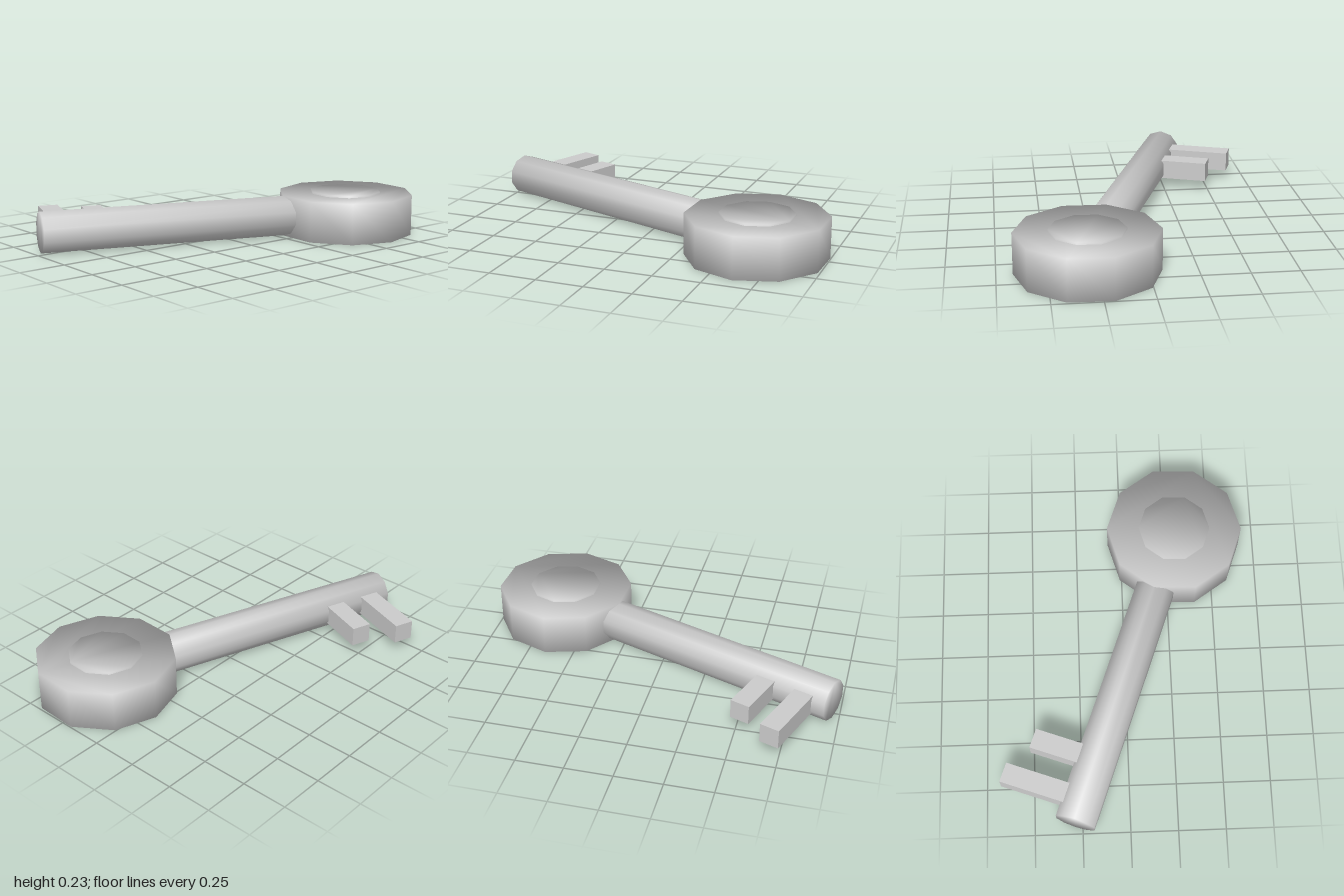
import * as THREE from 'three';

const SIDES = 10;

// Closed ten-sided prism along y whose caps and walls share smooth rim normals.
function prism(radius, y0, y1) {
  const pos = [], nor = [], idx = [];
  const wall = 2 * Math.cos(Math.PI / SIDES); // two walls and one cap meet at each corner
  const len = Math.hypot(wall, 1);
  [[y0, -1], [y1, 1]].forEach(([y, up]) => {
    for (let i = 0; i < SIDES; i++) {
      const a = (i / SIDES) * Math.PI * 2, c = Math.cos(a), s = Math.sin(a);
      pos.push(radius * c, y, radius * s);
      nor.push((wall * c) / len, up / len, (wall * s) / len);
    }
  });
  for (let i = 0; i < SIDES; i++) {
    const j = (i + 1) % SIDES, ti = i + SIDES, tj = j + SIDES;
    idx.push(i, ti, tj, i, tj, j);
    if (i > 0 && j > 0) idx.push(0, i, j, SIDES, tj, ti);
  }
  const g = new THREE.BufferGeometry();
  g.setAttribute('position', new THREE.Float32BufferAttribute(pos, 3));
  g.setAttribute('normal', new THREE.Float32BufferAttribute(nor, 3));
  g.setIndex(idx);
  return g;
}

export function createModel() {
  const model = new THREE.Group();
  model.name = 'key';
  const metal = new THREE.MeshStandardMaterial({ color: 0xcccccc });
  metal.name = 'grey metal';

  // The key lies along local -x, turned 20 degrees, with its origin at the bow centre.
  const key = new THREE.Group();
  key.name = 'turnedKey';
  key.position.set(0.64, 0, 0.297);
  key.rotation.y = -THREE.MathUtils.degToRad(20);
  model.add(key);

  const add = (name, geometry) => {
    const mesh = new THREE.Mesh(geometry, metal);
    mesh.name = name;
    key.add(mesh);
    return mesh;
  };

  // Handle and the raised disc on it
  add('bow', prism(0.37, 0, 0.22));
  add('bowDisc', prism(0.195, 0.01, 0.23));

  // Shaft from the bow centre to the tip
  const shaft = add('shaft', prism(0.11, 0, 1.706));
  shaft.rotation.z = Math.PI / 2;
  shaft.position.y = 0.11;

  // Teeth: local x position and reach
  [['longTooth', -1.58, 0.438], ['shortTooth', -1.36, 0.351]].forEach(([name, x, reach]) => {
    const tooth = add(name, new THREE.BoxGeometry(0.106, 0.106, reach));
    tooth.position.set(x, 0.111, -reach / 2);
  });

  return model;
}
